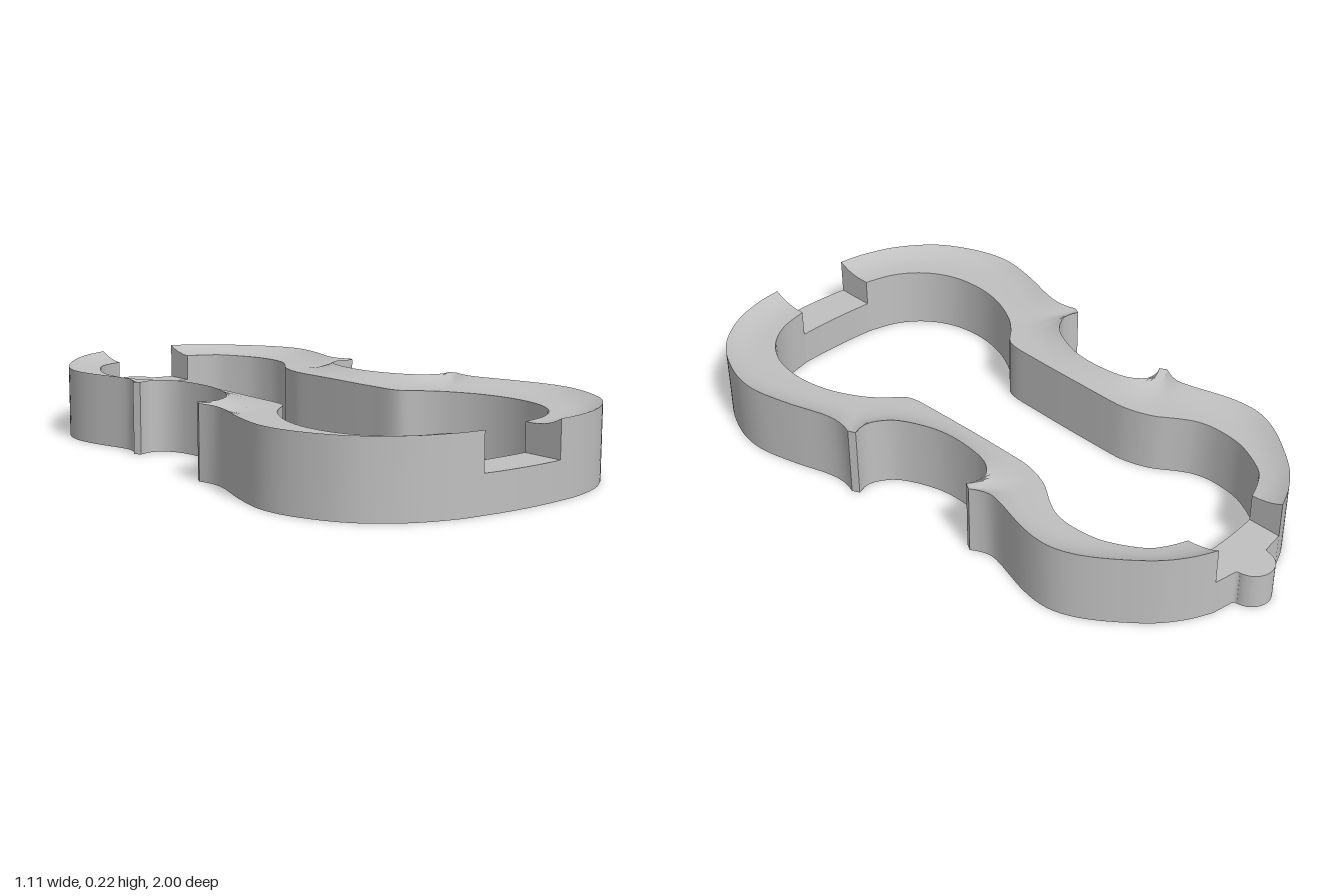
import * as THREE from 'three';
import { toCreasedNormals } from 'three/addons/utils/BufferGeometryUtils.js';

const RIM = 0.225, FLOOR = 0.112, GAP = 0.14;

// Matching outer and inner outline runs [x, z] of one side, split at the corner tips
const RUNS = [
  { n: 36,
    outer: [[.14, -.92], [.215, -.885], [.296, -.824], [.39, -.713], [.437, -.63], [.452, -.56], [.443, -.474], [.407, -.34], [.409, -.29], [.43, -.25]],
    inner: [[.14, -.815], [.2, -.789], [.25, -.75], [.305, -.65], [.32, -.555], [.312, -.485], [.286, -.432], [.243, -.37], [.225, -.33]] },
  { n: 36,
    outer: [[.418, -.228], [.386, -.24], [.345, -.234], [.307, -.183], [.292, -.09], [.296, 0], [.321, .082], [.36, .151], [.413, .188], [.45, .192], [.481, .181]],
    inner: [[.223, -.325], [.212, -.285], [.206, -.236], [.206, -.1], [.207, 0], [.21, .12], [.213, .2], [.225, .243], [.25, .268]] },
  { n: 40,
    outer: [[.492, .204], [.481, .252], [.488, .32], [.53, .453], [.556, .586], [.536, .707], [.466, .84], [.35, .934], [.23, .979], [.14, .992]],
    inner: [[.255, .272], [.285, .3], [.325, .352], [.37, .448], [.39, .56], [.376, .676], [.323, .77], [.24, .832], [.14, .86]] },
];
const sample = (pts, n) =>
  new THREE.SplineCurve(pts.map(p => new THREE.Vector2(...p))).getSpacedPoints(n);
const OUTER = RUNS.flatMap(r => sample(r.outer, r.n));
const INNER = RUNS.flatMap(r => sample(r.inner, r.n));

// The top is dished: it falls away from the outer rim, then levels out
function topHeight(p) {
  let d = Infinity;
  for (const q of OUTER) d = Math.min(d, p.distanceTo(q));
  const k = Math.max(0, 1 - d / 0.1);
  return RIM - 0.027 * (1 - k * k);
}

// Loft one half of the frame; side is +1 or -1
function halfFrame(side) {
  const steps = [0, .1, .22, .36, .52, .75, 1], K = steps.length, R = 2 * K;
  const pos = [], index = [];
  OUTER.forEach((o, i) => {
    const pts = steps.map(t => o.clone().lerp(INNER[i], t));
    for (const p of pts) pos.push(side * p.x, topHeight(p), p.y);
    for (const p of pts.reverse()) pos.push(side * p.x, 0, p.y);
  });
  const quad = (a, b, c, d) =>
    side > 0 ? index.push(a, b, c, a, c, d) : index.push(a, c, b, a, d, c);
  const last = OUTER.length - 1;
  for (let i = 0; i < last; i++)
    for (let j = 0; j < R; j++) {
      const k = (j + 1) % R;
      quad(i * R + j, i * R + k, (i + 1) * R + k, (i + 1) * R + j);
    }
  // End caps facing the notches
  for (let j = 0; j < K - 1; j++) {
    const a = j, b = j + 1, c = R - 2 - j, d = R - 1 - j, e = last * R;
    quad(d, c, b, a);
    quad(e + a, e + b, e + c, e + d);
  }
  const g = new THREE.BufferGeometry();
  g.setAttribute('position', new THREE.Float32BufferAttribute(pos, 3));
  g.setIndex(index);
  return toCreasedNormals(g, 0.5);
}

// Low slab from a plan outline (shape y is -z)
function slab(shape) {
  const g = new THREE.ExtrudeGeometry(shape, { depth: FLOOR, bevelEnabled: false, curveSegments: 16 });
  g.rotateX(-Math.PI / 2);
  return toCreasedNormals(g, 0.5);
}

export function createModel() {
  const model = new THREE.Group();
  model.name = 'violinFrame';
  const grey = new THREE.MeshStandardMaterial({ color: 0xc0c0c0 });
  grey.name = 'light grey';
  const add = (name, geometry) => {
    const mesh = new THREE.Mesh(geometry, grey);
    mesh.name = name;
    model.add(mesh);
  };

  add('leftFrame', halfFrame(1));
  add('rightFrame', halfFrame(-1));

  // Front notch floor
  const front = new THREE.Shape();
  front.moveTo(-GAP, -.992);
  front.quadraticCurveTo(0, -1.008, GAP, -.992);
  front.lineTo(GAP, -.86);
  front.quadraticCurveTo(0, -.87, -GAP, -.86);
  add('frontBridge', slab(front));

  // Back notch floor with its rounded tab
  const back = new THREE.Shape();
  back.moveTo(GAP, .92);
  back.lineTo(.075, .93);
  back.quadraticCurveTo(.063, .931, .063, .942);
  back.absarc(0, .937, .063, .08, Math.PI - .08, false);
  back.quadraticCurveTo(-.063, .931, -.075, .93);
  back.lineTo(-GAP, .92);
  back.lineTo(-GAP, .815);
  back.quadraticCurveTo(0, .832, GAP, .815);
  add('backBridgeWithTab', slab(back));

  return model;
}
